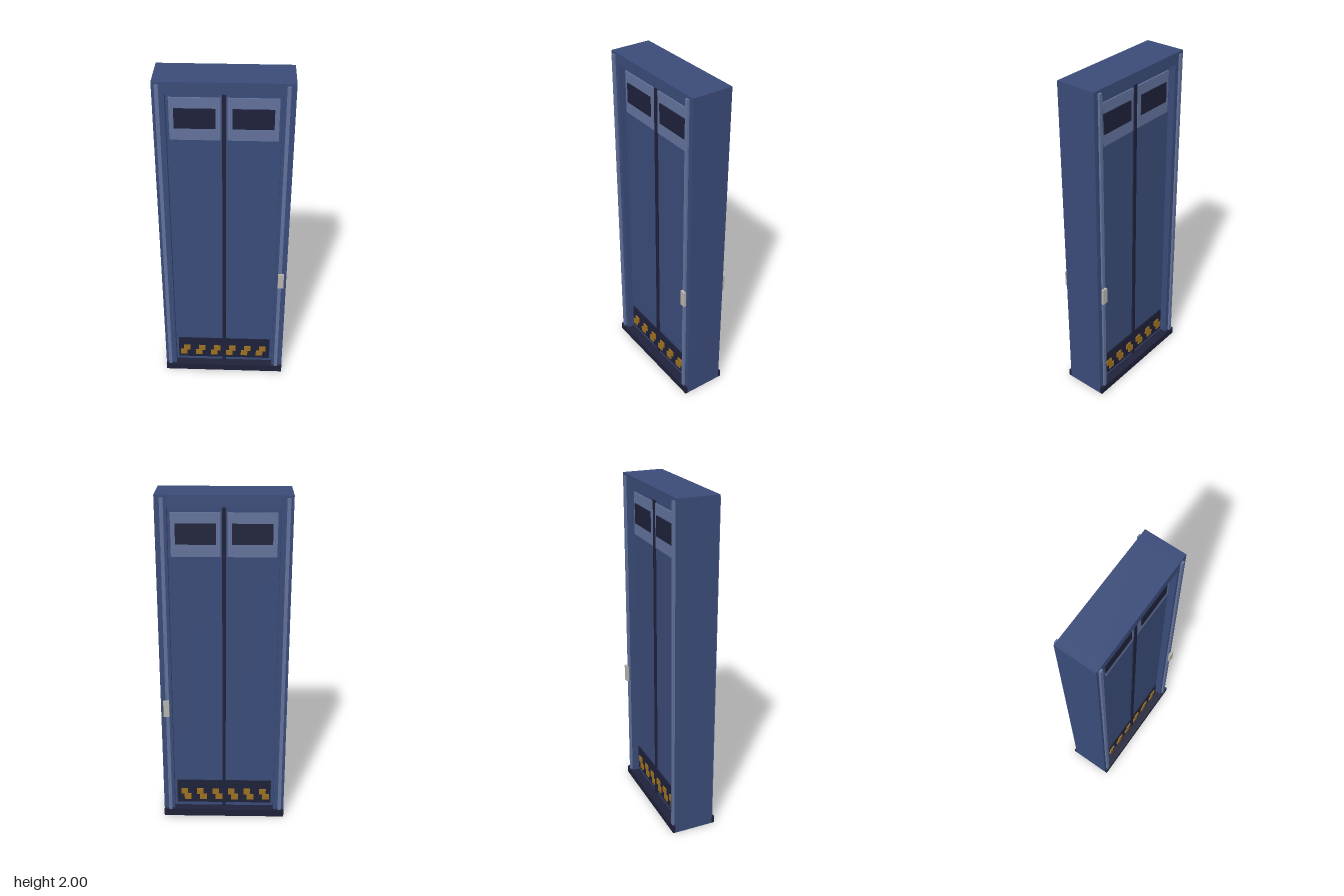
import * as THREE from 'three';

const material = (color) => new THREE.MeshStandardMaterial({ color });

export function createModel() {
  const root = new THREE.Group();
  root.name = 'doubleSidedLiftDoor';
  const blue = material(0x3a4b78);
  const lightBlue = material(0x62719a);
  const navy = material(0x1e2139);
  const amber = material(0x9c7020);
  const grey = material(0xb4b2aa);

  // Box given by its minimum and maximum on each axis
  const box = (name, mat, [x0, x1], [y0, y1], [z0, z1], parent = root) => {
    const mesh = new THREE.Mesh(new THREE.BoxGeometry(x1 - x0, y1 - y0, z1 - z0), mat);
    mesh.position.set((x0 + x1) / 2, (y0 + y1) / 2, (z0 + z1) / 2);
    mesh.name = name;
    parent.add(mesh);
  };

  // Frame: two jambs, a header and the floor between them
  box('leftJamb', blue, [0.305, 0.37], [0, 2], [-0.12, 0.12]);
  box('rightJamb', blue, [-0.37, -0.305], [0, 2], [-0.12, 0.12]);
  box('header', blue, [-0.305, 0.305], [1.935, 2], [-0.12, 0.12]);
  box('floor', navy, [-0.305, 0.305], [0, 0.045], [-0.12, 0.12]);

  // Door leaves and the dark seal where they meet
  box('leftDoor', blue, [0.01, 0.305], [0.045, 1.935], [-0.08, 0.08]);
  box('rightDoor', blue, [-0.305, -0.01], [0.045, 1.935], [-0.08, 0.08]);
  box('centreSeal', navy, [-0.01, 0.01], [0.045, 1.935], [-0.09, 0.09]);

  // Fittings are the same on the front and the back
  for (const s of [1, -1]) {
    const face = new THREE.Group();
    face.name = s > 0 ? 'frontFittings' : 'backFittings';
    root.add(face);
    const depth = (a, b) => (s > 0 ? [a, b] : [-b, -a]);
    const add = (name, mat, x, y, near, far) => box(name, mat, x, y, depth(near, far), face);

    add('sill', navy, [-0.37, 0.37], [0, 0.045], 0.12, 0.135);
    add('trimStrip', lightBlue, [-0.353, -0.333], [0.045, 1.985], 0.12, 0.132);
    add('trimStrip', lightBlue, [0.321, 0.341], [0.045, 1.985], 0.12, 0.132);
    add('callPanel', grey, [0.32, 0.354], [0.7, 0.8], 0.132, 0.146);

    // Window surround, window and kick plate on each leaf
    for (const m of [1, -1]) {
      const span = (a, b) => (m > 0 ? [a, b] : [-b, -a]);
      add('windowSurround', lightBlue, span(0.018, 0.29), [1.655, 1.9], 0.08, 0.088);
      add('window', navy, span(0.044, 0.265), [1.725, 1.84], 0.088, 0.094);
      add('kickPlate', navy, span(0.01, 0.29), [0.07, 0.227], 0.08, 0.087);
    }

    // Stepped hazard marks along the kick plates
    for (let i = 0; i < 6; i++) {
      const x = -0.248 + i * 0.0965;
      add('hazardMarkTop', amber, [x - 0.011, x + 0.031], [0.132, 0.17], 0.087, 0.094);
      add('hazardMarkBottom', amber, [x - 0.031, x + 0.011], [0.095, 0.132], 0.087, 0.094);
    }
  }
  return root;
}
